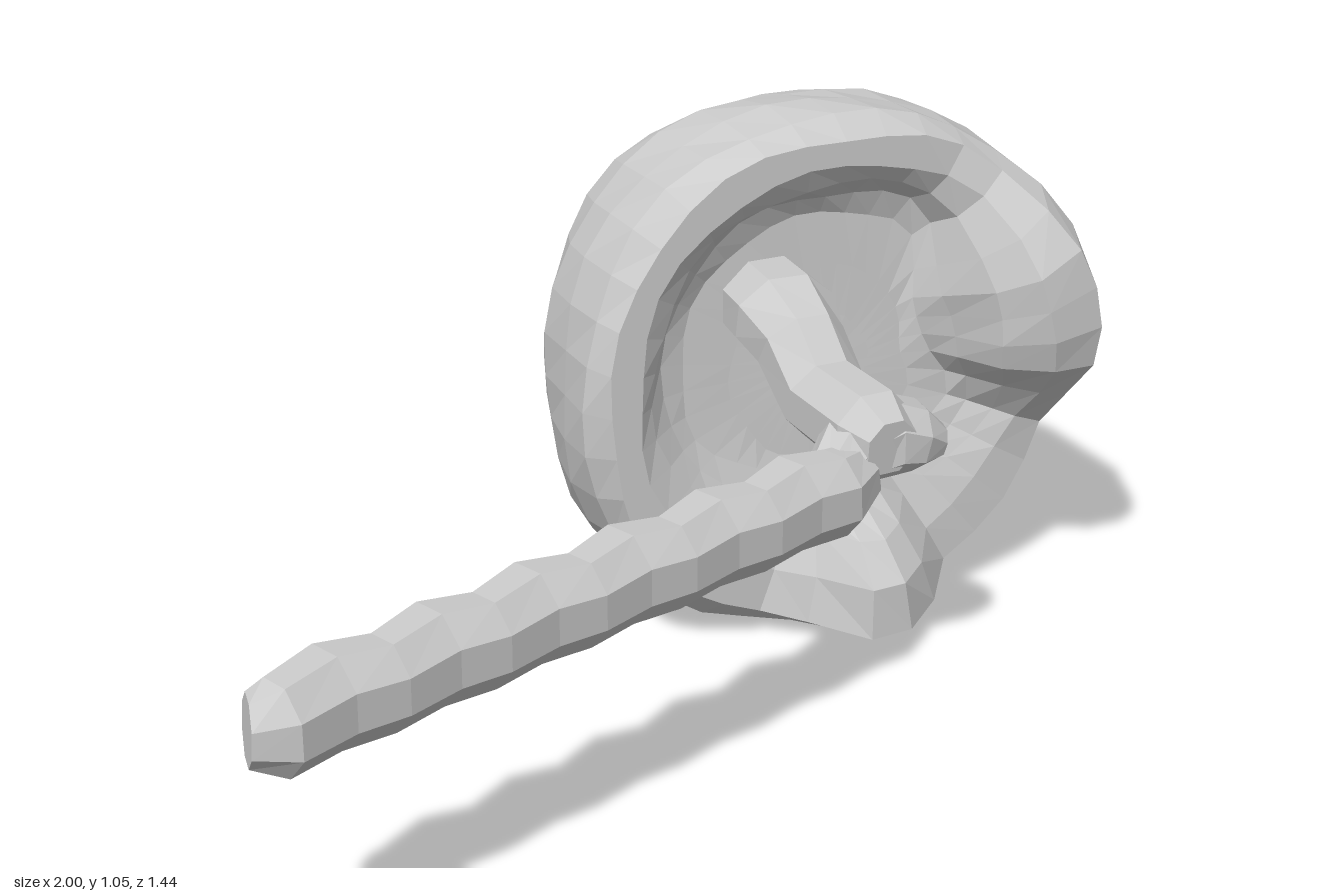
import * as THREE from 'three';

const material = new THREE.MeshStandardMaterial({ color: 0xcccccc, flatShading: true });

// Skins a list of closed rings and caps both ends.
function loft(name, rings) {
  const n = rings[0].length, pos = [], idx = [];
  rings.forEach(r => r.forEach(p => pos.push(p.x, p.y, p.z)));
  for (let i = 0; i < rings.length - 1; i++) {
    for (let j = 0; j < n; j++) {
      const a = i * n + j, b = i * n + (j + 1) % n;
      idx.push(a, b, a + n, b, b + n, a + n);
    }
  }
  [0, rings.length - 1].forEach((ri, end) => {
    const c = new THREE.Vector3();
    rings[ri].forEach(p => c.addScaledVector(p, 1 / n));
    const ci = pos.length / 3;
    pos.push(c.x, c.y, c.z);
    for (let j = 0; j < n; j++) {
      const a = ri * n + j, b = ri * n + (j + 1) % n;
      if (end) idx.push(ci, a, b); else idx.push(ci, b, a);
    }
  });
  const geo = new THREE.BufferGeometry();
  geo.setAttribute('position', new THREE.Float32BufferAttribute(pos, 3));
  geo.setIndex(idx);
  geo.computeVertexNormals();
  const mesh = new THREE.Mesh(geo, material);
  mesh.name = name;
  return mesh;
}

// Sweeps a polygon along stations [x, y, z, halfWidth, halfHeight].
function rod(name, stations, sides = 8) {
  const pts = stations.map(s => new THREE.Vector3(s[0], s[1], s[2]));
  const rings = pts.map((p, i) => {
    const w = pts[Math.min(i + 1, pts.length - 1)].clone().sub(pts[Math.max(i - 1, 0)]).normalize();
    const u = new THREE.Vector3(0, 1, 0).cross(w).normalize();
    const v = w.clone().cross(u);
    return Array.from({ length: sides }, (_, j) => {
      const a = (j + 0.5) / sides * Math.PI * 2;
      return p.clone().addScaledVector(u, Math.cos(a) * stations[i][3])
        .addScaledVector(v, Math.sin(a) * stations[i][4]);
    });
  });
  return loft(name, rings);
}

const bump = (a, centre, width) => {
  const d = Math.atan2(Math.sin(a - centre), Math.cos(a - centre));
  return Math.exp(-Math.pow(d / width, 4));
};

// Thick shallow bowl opening to the front, with two raised lobes on its rim.
function createBowl() {
  const SEG = 36;
  // radius, z, share of lobe lift, inward pull at the bottom and lobes, drop in y, floor tilt
  const profile = [
    [0.10, -0.722, 0, 0, 0.03, 0], [0.19, -0.72, 0, 0, 0.03, 0], [0.275, -0.708, 0, 0, 0.025, 0],
    [0.345, -0.665, 0, 0, 0, 0], [0.41, -0.6, 0, 0, -0.015, 0], [0.47, -0.52, 0, 0, -0.008, 0],
    [0.51, -0.43, 0, 0, 0, 0], [0.522, -0.32, 0, 0, 0, 0], [0.519, -0.22, 0.75, 0, 0, 0],
    [0.487, -0.165, 0.98, 0, 0, 0], [0.43, -0.165, 0.98, 0.04, 0, 0], [0.39, -0.19, 0.75, 0.08, 0, 0],
    [0.355, -0.225, 0.35, 0.1, 0, 0.02], [0.31, -0.24, 0.08, 0.09, 0, 0.025],
    [0.20, -0.245, 0, 0.02, 0, 0.015], [0.1, -0.245, 0, 0, 0, 0.01]
  ];
  const rings = profile.map(([r, z, lift, pull, drop, tilt], i) => Array.from({ length: SEG }, (_, j) => {
    const a = j / SEG * Math.PI * 2, c = Math.cos(a), s = Math.sin(a);
    const side = bump(a, 0.3, 0.5), low = bump(a, -1.45, 0.28);
    const square = Math.pow(Math.abs(c) ** 2.3 + Math.abs(s) ** 2.3, -1 / 2.3);
    const inward = pull * Math.max(side, low, bump(a, -1.6, 1.1));
    const wobble = 0.006 * Math.sin(a * 7 + i * 2.1);
    const rad = (r - inward) * square + wobble;
    const dip = -0.015 * bump(a, -0.6, 0.4) * lift;
    return new THREE.Vector3(0.475 + rad * c, 0.522 - drop + rad * s,
      z + lift * 0.165 * Math.max(side, low) + dip - tilt * s);
  }));
  return loft('bowl', rings);
}

export function createModel() {
  const group = new THREE.Group();
  group.add(createBowl());

  // Long knobbly handle
  const handle = [[-0.985, 0.487, 0.645, 0.06, 0.06]];
  const STEPS = 12;
  for (let i = 0; i <= STEPS; i++) {
    const t = i / STEPS, k = i % 2 ? 0.006 : -0.004;
    handle.push([-0.94 + 1.19 * t, 0.486 + k * 0.4, 0.645 - 0.42 * t - k * 2, 0.076 + k, 0.086 + k * 0.5]);
  }
  handle.push([0.31, 0.5, 0.2, 0.055, 0.06]);
  group.add(rod('handle', handle));

  // Wedge-shaped elbow between handle and post
  group.add(rod('elbow', [
    [0.25, 0.49, 0.2, 0.05, 0.05], [0.32, 0.535, 0.17, 0.075, 0.075], [0.38, 0.55, 0.16, 0.09, 0.08],
    [0.45, 0.535, 0.16, 0.085, 0.065], [0.5, 0.52, 0.175, 0.045, 0.03]
  ]));

  // Post rising into the bowl floor
  group.add(rod('post', [
    [0.36, 0.68, -0.3, 0.1, 0.085], [0.35, 0.675, -0.17, 0.105, 0.09], [0.35, 0.64, -0.1, 0.087, 0.09],
    [0.35, 0.567, 0, 0.085, 0.086], [0.355, 0.56, 0.18, 0.085, 0.088], [0.36, 0.555, 0.24, 0.055, 0.055]
  ]));
  return group;
}
